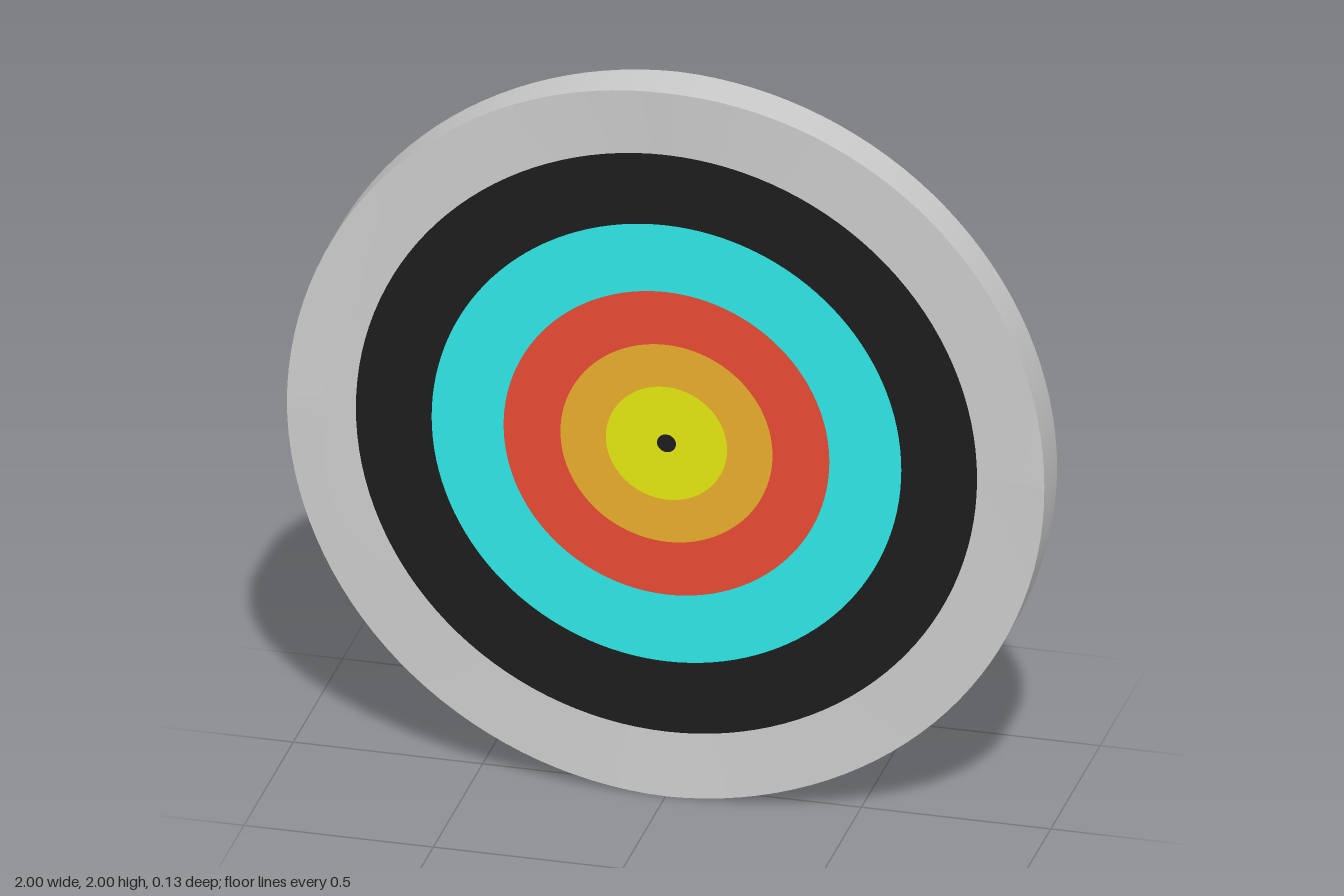
import * as THREE from 'three';

const SEGMENTS = 128;
const FACE_Z = 0.056; // half thickness of the flat painted area
const FLARE = 0.009; // extra half thickness at the four quarter points of the rim

// Half thickness of the rim: peaks at top, bottom, left and right
function rimZ(x, y) {
  const quarter = Math.PI / 2;
  const a = Math.atan2(y, x) / quarter;
  const t = Math.abs(a - Math.round(a)) * 2;
  return FACE_Z + FLARE * (1 - t) ** 2;
}

function mesh(name, geometry, color) {
  const m = new THREE.Mesh(geometry, new THREE.MeshStandardMaterial({ color }));
  m.name = name;
  return m;
}

// Flat painted bands: name, outer radius, colour
const BANDS = [
  ['centreDot', 0.025, 0x1c1c1c],
  ['yellowBullseye', 0.16, 0xe4e810],
  ['orangeBand', 0.28, 0xe8ac2a],
  ['redBand', 0.43, 0xe84a33],
  ['cyanBand', 0.62, 0x2ee8e6],
  ['blackBand', 0.82, 0x1c1c1c],
];

function createFace(name) {
  const face = new THREE.Group();
  face.name = name;
  let inner = 0;
  for (const [bandName, outer, color] of BANDS) {
    const geometry = inner === 0
      ? new THREE.CircleGeometry(outer, SEGMENTS)
      : new THREE.RingGeometry(inner, outer, SEGMENTS, 1);
    geometry.translate(0, 0, FACE_Z);
    face.add(mesh(bandName, geometry, color));
    inner = outer;
  }
  // Outer grey band, rising gently to the flared rim
  const grey = new THREE.RingGeometry(inner, 1, SEGMENTS, 3);
  const p = grey.attributes.position;
  for (let i = 0; i < p.count; i++) {
    const x = p.getX(i), y = p.getY(i);
    const k = (Math.hypot(x, y) - inner) / (1 - inner);
    p.setZ(i, FACE_Z + (rimZ(x, y) - FACE_Z) * k);
  }
  grey.computeVertexNormals();
  face.add(mesh('greyBand', grey, 0xcccccc));
  return face;
}

export function createModel() {
  const target = new THREE.Group();
  target.name = 'target';

  // Matching painted faces on both sides
  const front = createFace('frontFace');
  const back = createFace('backFace');
  back.rotation.y = Math.PI;
  target.add(front, back);

  // Outer edge of the disc
  const edge = new THREE.CylinderGeometry(1, 1, 2, SEGMENTS, 1, true);
  edge.rotateX(Math.PI / 2);
  const p = edge.attributes.position;
  for (let i = 0; i < p.count; i++) {
    p.setZ(i, Math.sign(p.getZ(i)) * rimZ(p.getX(i), p.getY(i)));
  }
  target.add(mesh('outerEdge', edge, 0xcccccc));

  target.position.y = 1;
  const model = new THREE.Group();
  model.name = 'archeryTarget';
  model.add(target);
  return model;
}
